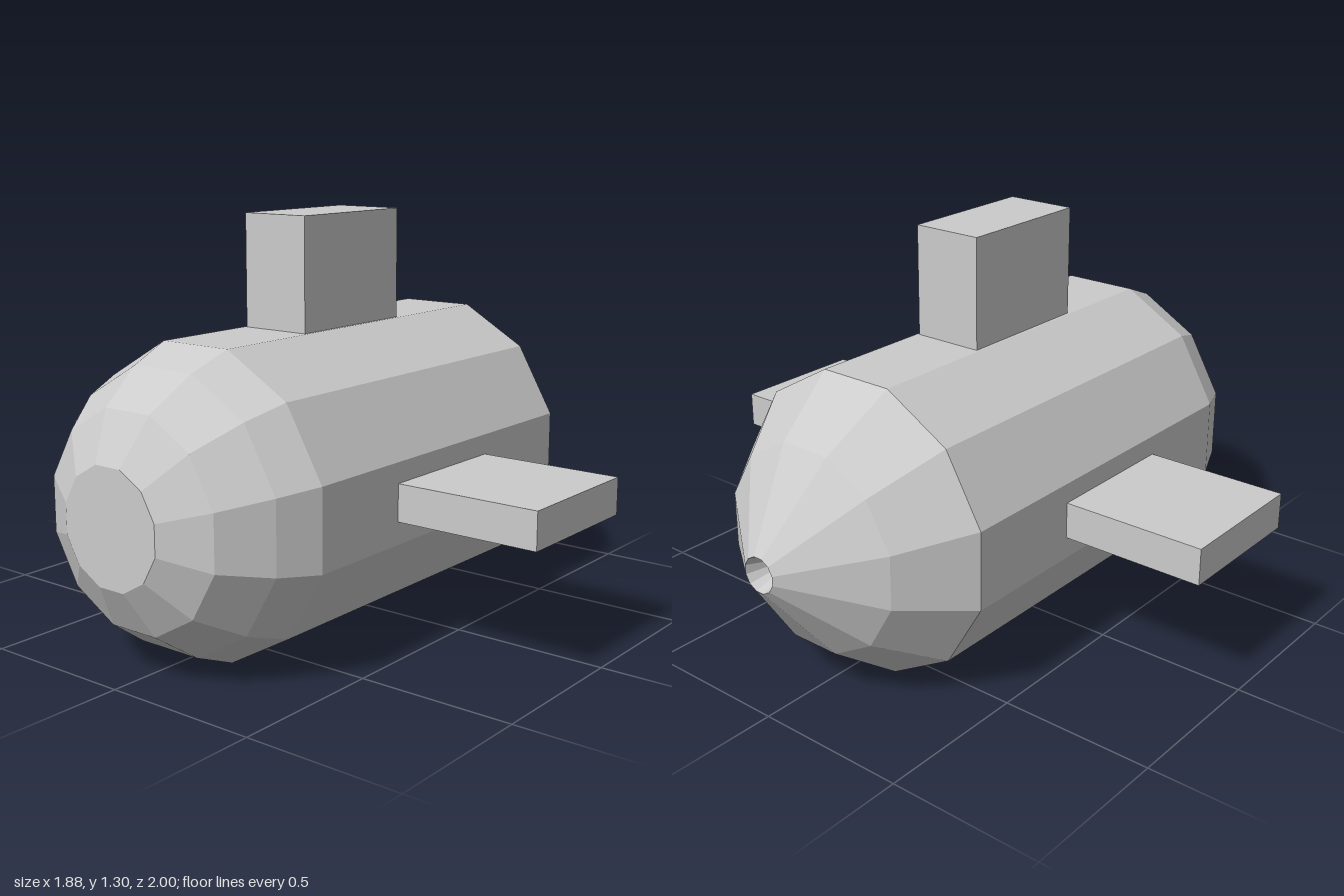
import * as THREE from 'three';

const CENTRE_Y = 0.471;
const SIDES = 12;

export function createModel() {
  const model = new THREE.Group();
  model.name = 'submarine';
  const material = new THREE.MeshStandardMaterial({ color: 0xcccccc, flatShading: true });

  const add = (name, geometry, x, y, z) => {
    const mesh = new THREE.Mesh(geometry, material);
    mesh.name = name;
    mesh.position.set(x, y, z);
    model.add(mesh);
    return mesh;
  };

  // Twelve-sided hull: [distance to flat, z], from the tail recess to the blunt nose
  const profile = [
    [0, -0.85], [0.055, -1], [0.32, -0.8], [0.471, -0.587],
    [0.471, 0.648], [0.418, 0.78], [0.32, 0.92], [0.177, 1], [0, 1],
  ];
  const toCorner = 1 / Math.cos(Math.PI / SIDES);
  const points = profile.map(([r, z]) => new THREE.Vector2(r * toCorner, z));
  const hull = new THREE.LatheGeometry(points, SIDES, Math.PI / SIDES);
  hull.rotateX(Math.PI / 2);
  add('hull', hull, 0, CENTRE_Y, 0);

  // Conning tower on the top flat
  add('tower', new THREE.BoxGeometry(0.235, 0.36, 0.47), 0, 1.117, 0.058);

  // Side planes
  for (const [name, side] of [['leftPlane', 1], ['rightPlane', -1]]) {
    add(name, new THREE.BoxGeometry(0.48, 0.117, 0.47), side * 0.7, 0.474, 0.058);
  }

  return model;
}
